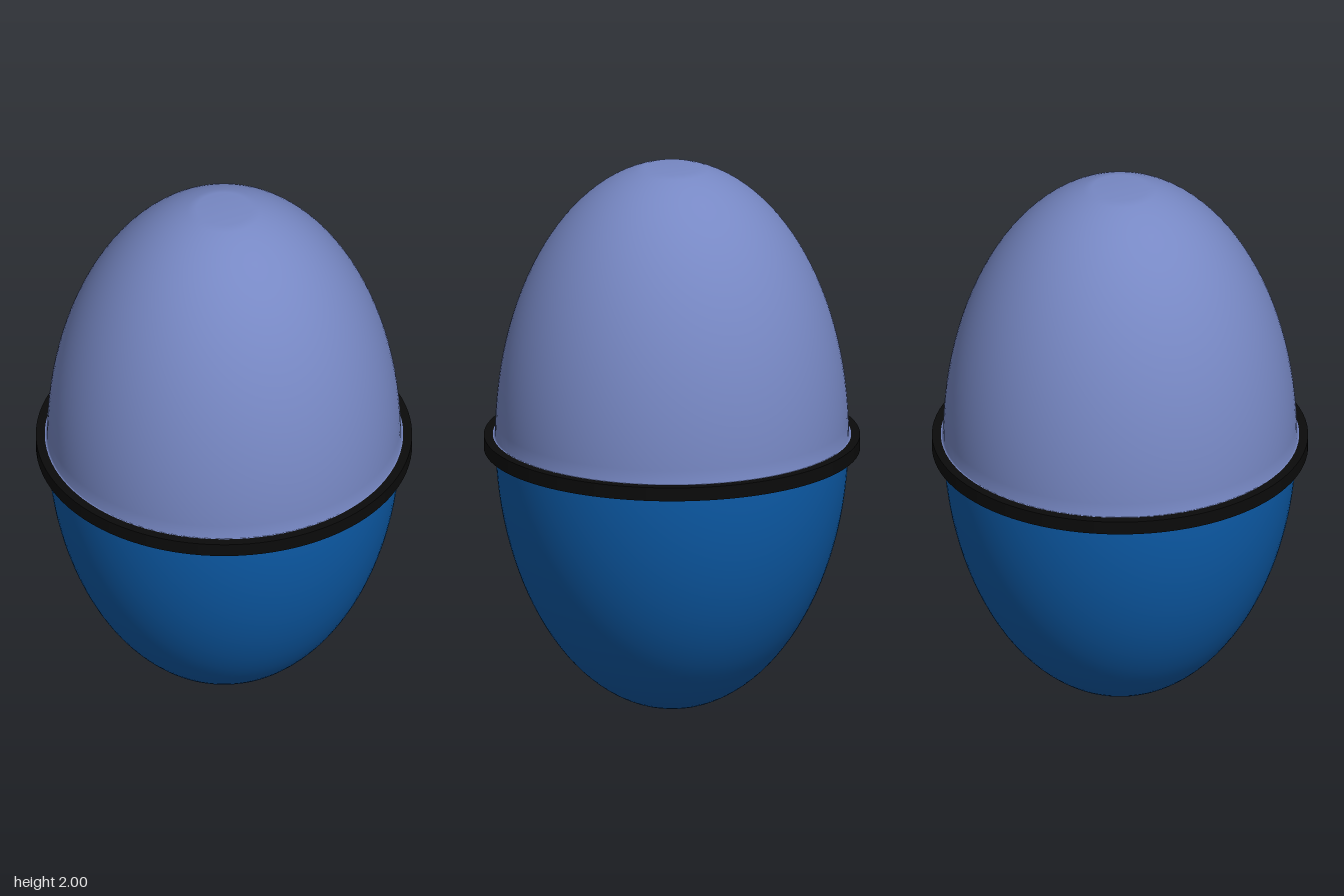
import * as THREE from 'three';

const RADIUS = 0.635, HALF_HEIGHT = 1.0125, CAP_RADIUS = 0.1, SEGMENTS = 96, STEPS = 28;

// Ellipse quarter from the equator to the small flat end, as [radius, height above the middle]
function quarterProfile() {
  const end = Math.acos(CAP_RADIUS / RADIUS);
  const points = [];
  for (let i = 0; i <= STEPS; i++) {
    const a = (end * i) / STEPS;
    points.push([RADIUS * Math.cos(a), HALF_HEIGHT * Math.sin(a)]);
  }
  points.push([0, points[STEPS][1]]);
  return points;
}

export function createModel() {
  const group = new THREE.Group();
  const paint = (name, color) => {
    const material = new THREE.MeshStandardMaterial({ color });
    material.name = name;
    return material;
  };
  const add = (name, profile, material) => {
    const points = profile.map(([r, y]) => new THREE.Vector2(r, y));
    const mesh = new THREE.Mesh(new THREE.LatheGeometry(points, SEGMENTS), material);
    mesh.name = name;
    group.add(mesh);
  };
  const quarter = quarterProfile();

  // Upper shell, with a tiny lip where it meets the band
  add('upperShell', [[RADIUS + 0.008, 1.001], ...quarter.map(([r, y]) => [r, 1 + y])],
    paint('lavender blue', 0x7788c4));

  // Lower shell, mirrored
  add('lowerShell', quarter.map(([r, y]) => [r, 1 - y]).reverse(), paint('deep blue', 0x0c5ba8));

  // Flat-sided band around the middle; doubled corners keep its edges sharp
  const inner = 0.62, outer = 0.675, low = 0.95, high = 1;
  const black = paint('black', 0x0b0b0b);
  add('bandUnderside', [[inner, low], [outer, low]], black);
  add('bandRim', [[outer, low], [outer, high]], black);
  add('bandTop', [[outer, high], [inner, high]], black);

  return group;
}
